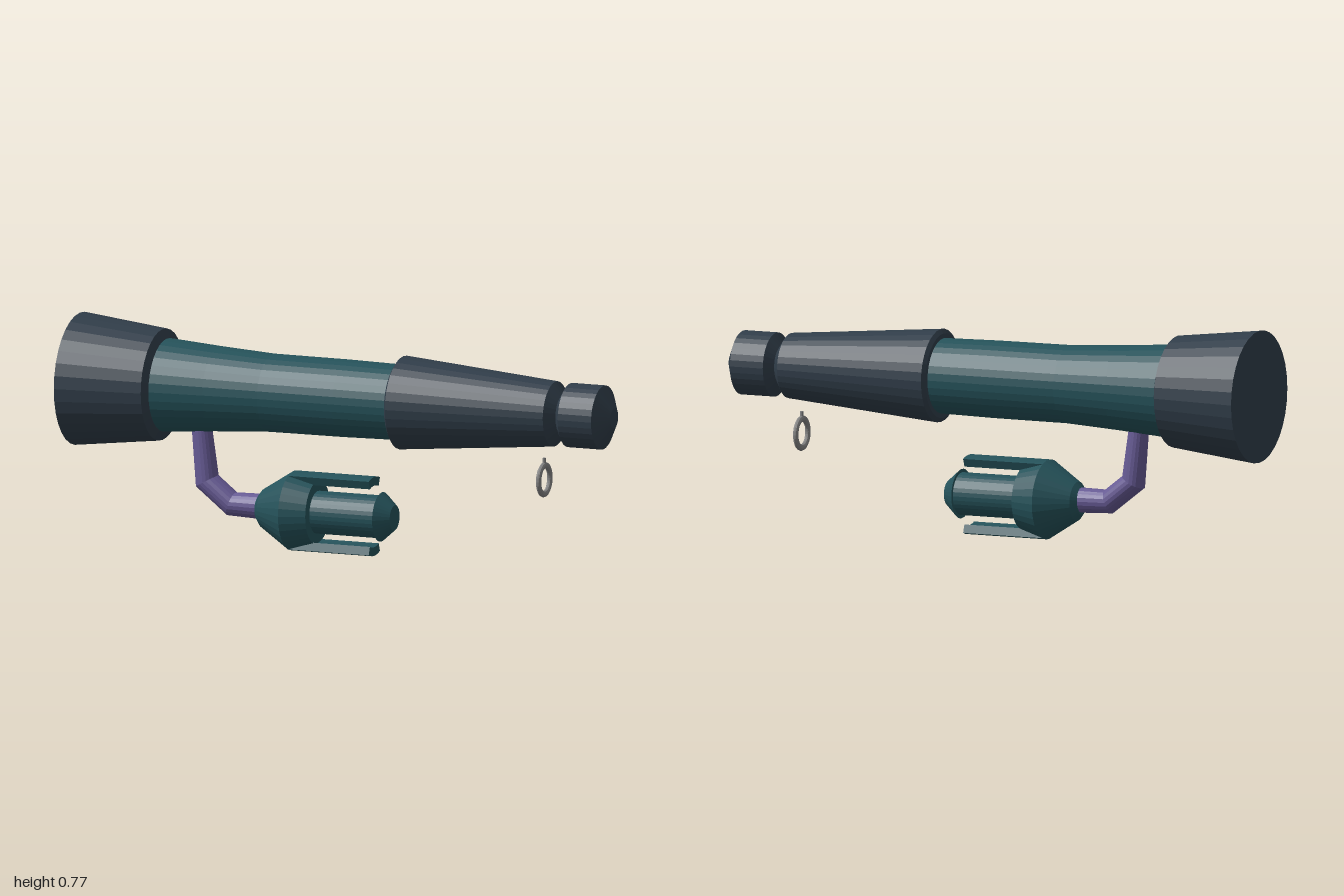
import * as THREE from 'three';

const material = (color) => new THREE.MeshStandardMaterial({ color, flatShading: true });
const SLATE = material(0x303d49), TEAL = material(0x25525a);
const PURPLE = material(0x665a94), METAL = material(0x858585);

// Solid of revolution along x; profile is [x, radius] from left to right
function turned(name, profile, y, mat, sides = 32) {
  const pts = profile.map(([x, r]) => new THREE.Vector2(r, x));
  const geo = new THREE.LatheGeometry(pts, sides).rotateZ(-Math.PI / 2).translate(0, y, 0);
  const mesh = new THREE.Mesh(geo, mat);
  mesh.name = name;
  return mesh;
}

// Bent rod with mitred joints; each ring is [x, y, radius, direction in the xy plane]
function bentRod(rings, sides = 20) {
  const pos = [], index = [];
  for (const [x, y, r, a] of rings) {
    for (let i = 0; i < sides; i++) {
      const t = (i / sides) * Math.PI * 2;
      const u = Math.cos(t) * r, w = Math.sin(t) * r;
      pos.push(x - Math.sin(a) * u, y + Math.cos(a) * u, w);
    }
  }
  for (let j = 0; j < rings.length - 1; j++) {
    for (let i = 0; i < sides; i++) {
      const a = j * sides + i, b = j * sides + ((i + 1) % sides);
      index.push(a, b, a + sides, b, b + sides, a + sides);
    }
  }
  const geo = new THREE.BufferGeometry();
  geo.setAttribute('position', new THREE.Float32BufferAttribute(pos, 3));
  geo.setIndex(index);
  geo.computeVertexNormals();
  return geo;
}

export function createModel() {
  const group = new THREE.Group();
  const axis = 0.545, gripAxis = 0.139;

  // Main tube
  group.add(turned('flaredEnd', [
    [-1, 0], [-1, 0.23], [-0.69, 0.194], [-0.675, 0.163], [-0.675, 0],
  ], axis, SLATE));
  group.add(turned('middleTube', [
    [-0.69, 0.163], [-0.48, 0.147], [-0.28, 0.135], [0, 0.134], [0.22, 0.13],
  ], axis, TEAL));
  group.add(turned('taperedEnd', [
    [0.2, 0], [0.2, 0.147], [0.21, 0.162], [0.78, 0.113], [0.81, 0.072],
    [0.835, 0.111], [0.96, 0.111], [1, 0.035], [1, 0],
  ], axis, SLATE));

  // Curved bracket between tube and lower cylinder
  const bracket = new THREE.Mesh(bentRod([
    [-0.548, 0.45, 0.034, -1.52], [-0.523, 0.22, 0.044, -1.08],
    [-0.43, 0.146, 0.043, -0.33], [-0.29, 0.144, 0.045, 0],
  ]), PURPLE);
  PURPLE.side = THREE.DoubleSide;
  bracket.name = 'bracket';
  group.add(bracket);

  // Lower cylinder: outer housing and inner core
  group.add(turned('housing', [
    [-0.328, 0], [-0.328, 0.045], [-0.31, 0.068], [-0.2, 0.138], [-0.11, 0.11], [-0.11, 0],
  ], gripAxis, TEAL));
  group.add(turned('core', [
    [-0.12, 0.074], [0.13, 0.074], [0.13, 0.086], [0.178, 0.044], [0.178, 0],
  ], gripAxis, TEAL));

  // Upper and lower curved prongs
  for (const [name, mid] of [['upperProng', Math.PI / 2], ['lowerProng', -Math.PI / 2]]) {
    const half = 0.37;
    const shape = new THREE.Shape();
    shape.absarc(0, 0, 0.138, mid - half, mid + half, false);
    shape.absarc(0, 0, 0.108, mid + half, mid - half, true);
    const geo = new THREE.ExtrudeGeometry(shape, { depth: 0.302, bevelEnabled: false, curveSegments: 5 });
    geo.rotateY(Math.PI / 2).translate(-0.2, gripAxis, 0);
    const prong = new THREE.Mesh(geo, TEAL);
    prong.name = name;
    group.add(prong);
  }

  // Hanging ring with its short stem
  const ring = new THREE.Group();
  ring.name = 'hangingRing';
  const hoop = new THREE.Mesh(new THREE.TorusGeometry(0.05, 0.0115, 10, 28).rotateY(Math.PI / 2), METAL);
  hoop.name = 'hoop';
  hoop.scale.x = 0.8;
  const stem = new THREE.Mesh(new THREE.CylinderGeometry(0.006, 0.006, 0.03, 10), METAL);
  stem.name = 'stem';
  stem.position.y = 0.061;
  ring.add(hoop, stem);
  ring.position.set(0.738, 0.312, 0);
  group.add(ring);

  return group;
}
